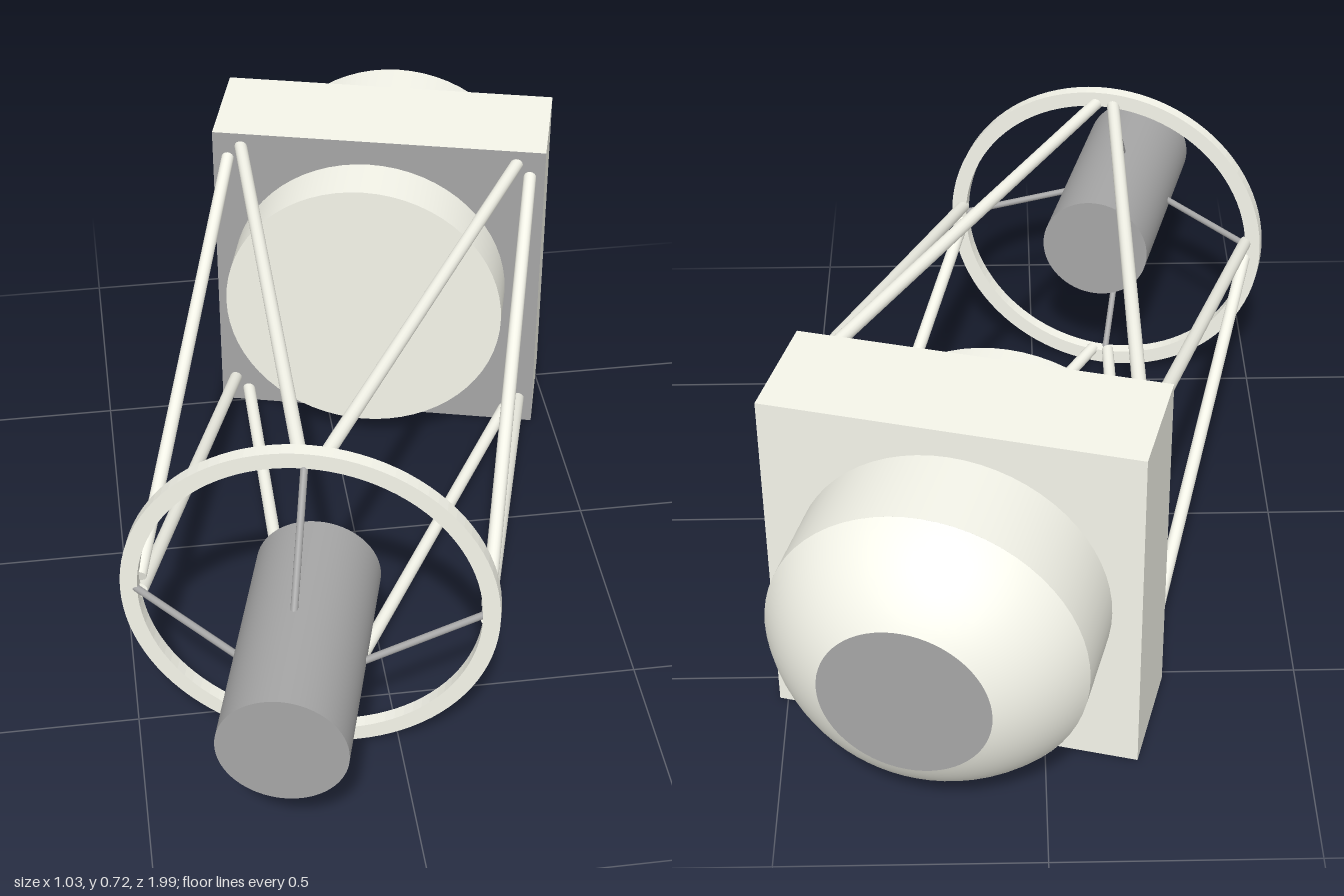
import * as THREE from 'three';

const cream = new THREE.MeshStandardMaterial({ color: 0xf5f5ea });
const grey = new THREE.MeshStandardMaterial({ color: 0xa6a6a6 });

export function createModel() {
  const model = new THREE.Group();
  model.name = 'trussTelescope';
  // the optical axis is local z, turned 15 degrees about the vertical
  const tube = new THREE.Group();
  tube.name = 'opticalTube';
  tube.position.set(-0.004, 0.358, 0);
  tube.rotation.y = -Math.PI / 12;
  model.add(tube);

  const add = (name, geometry, material = cream) => {
    const mesh = new THREE.Mesh(geometry, material);
    mesh.name = name;
    tube.add(mesh);
    return mesh;
  };

  // cylinder along the optical axis from back to front
  const axial = (name, radius, back, front, material) => {
    const g = new THREE.CylinderGeometry(radius, radius, front - back, 64);
    g.rotateX(Math.PI / 2);
    g.translate(0, 0, (back + front) / 2);
    return add(name, g, material);
  };

  // round rod between two points
  const rod = (name, a, b, radius, material) => {
    const dir = b.clone().sub(a);
    const mesh = add(name, new THREE.CylinderGeometry(radius, radius, dir.length(), 16), material);
    mesh.position.copy(a).add(b).multiplyScalar(0.5);
    mesh.quaternion.setFromUnitVectors(new THREE.Vector3(0, 1, 0), dir.normalize());
    return mesh;
  };

  // square box around the main mirror, grey on its front face
  const box = add('mirrorBox', new THREE.BoxGeometry(0.716, 0.716, 0.236),
    [cream, cream, cream, cream, grey, cream]);
  box.position.z = -0.556;

  // main mirror, standing proud of the box front
  axial('mainMirror', 0.302, -0.45, -0.326).position.x = -0.018;

  // rear housing: straight drum, spherical shoulder, flat end
  axial('rearDrum', 0.302, -0.852, -0.66);
  const R = 0.346, c = 0.683;
  const a0 = Math.asin(0.302 / R), a1 = Math.asin(0.16 / R);
  const profile = [];
  for (let i = 0; i <= 16; i++) {
    const a = a0 + (a1 - a0) * i / 16;
    profile.push(new THREE.Vector2(R * Math.sin(a), c + R * Math.cos(a)));
  }
  const shoulder = new THREE.LatheGeometry(profile, 64);
  shoulder.rotateX(-Math.PI / 2);
  add('rearShoulder', shoulder);
  const cap = add('rearCap', new THREE.CircleGeometry(0.16, 64), grey);
  cap.rotation.y = Math.PI;
  cap.position.z = -(c + R * Math.cos(a1));

  // flat front ring
  const ringShape = new THREE.Shape().absarc(0, 0, 0.358, 0, Math.PI * 2);
  ringShape.holes.push(new THREE.Path().absarc(0, 0, 0.325, 0, Math.PI * 2, true));
  const ring = add('frontRing', new THREE.ExtrudeGeometry(ringShape, {
    depth: 0.027, bevelEnabled: false, curveSegments: 48,
  }));
  ring.position.set(-0.005, 0, 0.596);

  // secondary camera held inside the ring
  axial('secondaryCamera', 0.119, 0.525, 1.0, grey);

  // four ring nodes, each with a pair of truss poles and one thin strut
  const turn = new THREE.Vector3(0, 0, 1);
  for (let i = 0; i < 4; i++) {
    const at = (x, y, z) => new THREE.Vector3(x, y, z).applyAxisAngle(turn, i * Math.PI / 2);
    for (const s of [-1, 1]) {
      rod('trussPole', at(0.328, s * 0.018, 0.605), at(0.326, s * 0.298, -0.445), 0.0135);
    }
    rod('cameraStrut', at(0.335, 0, 0.61), at(0.105, 0, 0.775), 0.007, grey).position.x -= 0.01;
  }
  return model;
}
